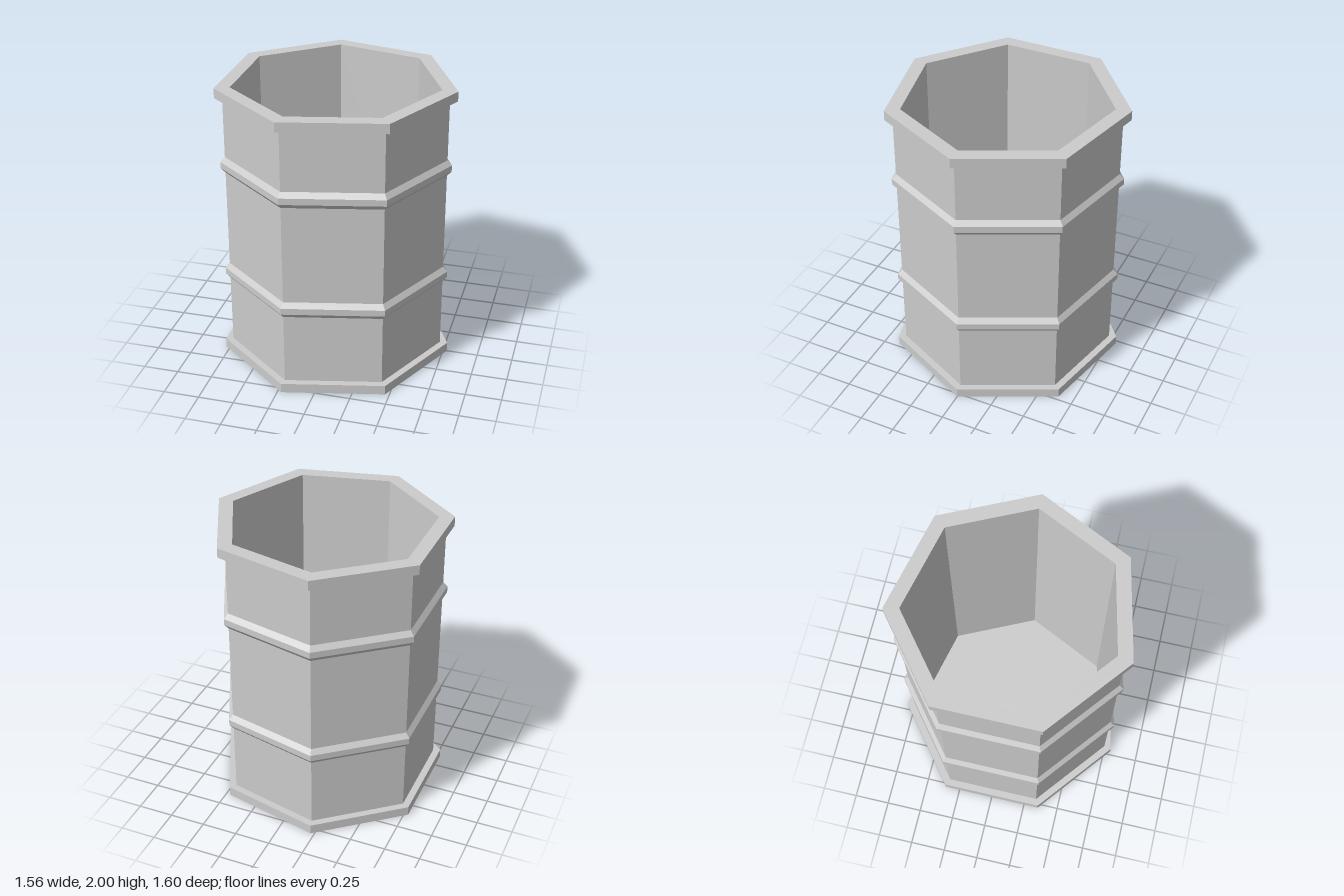
import * as THREE from 'three';

const SIDES = 7;
const WALL = 0.766, RIM = 0.819, RIB = 0.797, INNER = 0.713;
const RIM_H = 0.068, HEIGHT = 2, FLOOR = 0.07;
const RIB_Y = [0.575, 1.39];
const RIB_STEPS = [0, 0.035, 0.08, 0.115];

export function createModel() {
  const barrel = new THREE.Group();
  barrel.name = 'barrel';
  const material = new THREE.MeshStandardMaterial({ color: 0xcccccc, flatShading: true });

  // Seven-sided ring from a radius/height profile, with one corner on +x
  const addRing = (name, profile) => {
    const points = profile.map(([r, y]) => new THREE.Vector2(r, y));
    const mesh = new THREE.Mesh(new THREE.LatheGeometry(points, SIDES, Math.PI / 2), material);
    mesh.name = name;
    barrel.add(mesh);
  };

  // Base with its flange
  addRing('baseRim', [[0, 0], [RIM, 0], [RIM, RIM_H], [WALL, RIM_H]]);

  // Wall panels, each ending at the bevelled rib above it
  let bottom = RIM_H;
  for (const y of RIB_Y) {
    const [y0, y1, y2, y3] = RIB_STEPS.map((s) => y + s);
    addRing('wall', [[WALL, bottom], [WALL, y0]]);
    addRing('rib', [[WALL, y0], [RIB, y1], [RIB, y2], [WALL, y3]]);
    bottom = y3;
  }
  addRing('wall', [[WALL, bottom], [WALL, HEIGHT - RIM_H]]);

  // Open top rim, then the inside wall and floor
  addRing('topRim', [[WALL, HEIGHT - RIM_H], [RIM, HEIGHT - RIM_H], [RIM, HEIGHT], [INNER, HEIGHT]]);
  addRing('interior', [[INNER, HEIGHT], [INNER, FLOOR], [0, FLOOR]]);

  // Centre the odd-sided footprint on x
  const offset = -RIM * (1 - Math.cos(Math.PI / SIDES)) / 2;
  barrel.children.forEach((part) => { part.position.x = offset; });
  return barrel;
}
